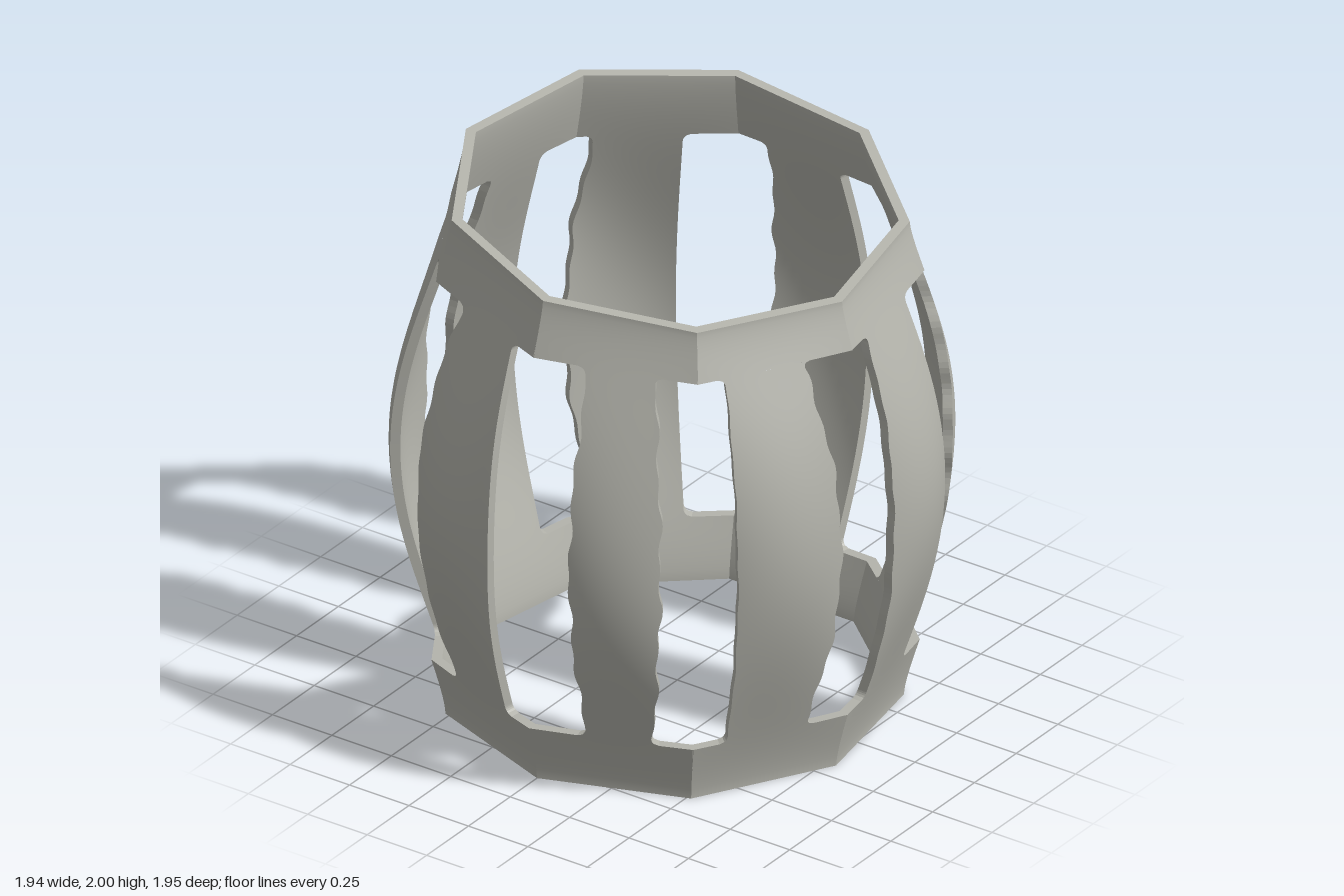
import * as THREE from 'three';

const SIDES = 9, TAN = Math.tan(Math.PI / SIDES), THICK = 0.036;
const V0 = 0.115, V1 = 0.885; // opening limits as fractions of the height
const DEG = Math.PI / 180;

// per stave: [low edge mid, high edge mid, low edge end, high edge end] in degrees
// from the face centre, then whether the low and high edges are rough
const STAVES = [
  [-13.5, 10.2, -11.5, 10.6, 1, 0],
  [-7.3, 13.5, -9, 8, 0, 1],
  [-7.7, 14, -8, 13.7, 0, 0.5],
  [-11, 12.8, -7, 14, 1, 0.3],
  [-12, 7.2, -10, 7, 1, 1],
  [-13.5, 11, -12.5, 8.5, 0, 1],
  [-7.6, 15, -9, 11, 0, 1],
  [-11, 7.8, -10, 8, 1, 0],
  [-19.7, 4.7, -16, 6.5, 1, 0],
];

const centreX = v => -0.036 * (1 - v);
const swell = v => Math.sin(Math.PI * THREE.MathUtils.clamp(v, 0, 1));
const apothem = v => 0.755 + 0.23 * Math.pow(swell(v), 1.4);

// point on the barrel wall: u runs -1..1 across a face, v runs 0..1 upwards
function wallPoint(theta, u, v, depth) {
  const a = apothem(v) - depth;
  const t = u * a * TAN;
  const r = a - 1.1 * Math.pow(swell(v), 3) * t * t;
  const x = centreX(v) + Math.cos(theta) * r - Math.sin(theta) * t;
  const z = Math.sin(theta) * r + Math.cos(theta) * t;
  // slanted rim, fading out downwards
  const y = 1.908 * v + Math.pow(v, 7) * (0.048 * x - 0.107 * z);
  return new THREE.Vector3(x, y, z);
}

function wallNormal(theta, u, v, depth) {
  const e = 0.002, va = Math.max(0, v - e), vb = Math.min(1, v + e);
  const dv = wallPoint(theta, u, vb, depth).sub(wallPoint(theta, u, va, depth));
  const du = wallPoint(theta, u + e, v, depth).sub(wallPoint(theta, u - e, v, depth));
  return dv.cross(du).normalize();
}

// edge of a stave in u, with rough cut and rounded opening corners
function staveEdge(i, side, v) {
  const s = STAVES[i], theta = i * 2 * Math.PI / SIDES, sign = side ? 1 : -1;
  const end = Math.sin(Math.PI * V0);
  const w = THREE.MathUtils.clamp((swell(v) - end) / (1 - end), 0, 1);
  const mid = 0.95 * Math.sin(s[side] * DEG), tip = 0.8 * Math.sin(s[2 + side] * DEG);
  let t = tip + (mid - tip) * w + centreX(v) * Math.sin(theta);
  const p = i * 2.3 + side;
  t += s[4 + side] * 0.005 * (Math.sin(34 * v + p) + Math.sin(71 * v + 2 * p));
  const rad = 0.03, d = Math.min(v - V0, V1 - v) * 1.9;
  if (d < rad) t += sign * (rad - Math.sqrt(Math.max(0, rad * rad - (rad - d) ** 2)));
  return THREE.MathUtils.clamp(t / (apothem(v) * TAN), -1, 1);
}

// solid curved panel between two edge functions
function panel(theta, rows, edge, cols, caps, sides) {
  const pos = [], nor = [];
  const tri = (p, n) => {
    const flat = n ? null : p[1].clone().sub(p[0]).cross(p[2].clone().sub(p[0])).normalize();
    p.forEach((q, k) => {
      pos.push(q.x, q.y, q.z);
      const m = n ? n[k] : flat;
      nor.push(m.x, m.y, m.z);
    });
  };
  const quad = (a, b, c, d, n) => {
    tri([a, b, c], n && [n[0], n[1], n[2]]);
    tri([a, c, d], n && [n[0], n[2], n[3]]);
  };
  const grid = depth => rows.map(v => {
    const lo = edge(0, v), hi = edge(1, v), line = [];
    for (let c = 0; c <= cols; c++) {
      const u = lo + (hi - lo) * c / cols;
      line.push({ p: wallPoint(theta, u, v, depth), n: wallNormal(theta, u, v, depth) });
    }
    return line;
  });
  const out = grid(0), inn = grid(THICK), last = rows.length - 1;
  for (let r = 0; r < last; r++) {
    for (let c = 0; c < cols; c++) {
      const o = [out[r][c], out[r + 1][c], out[r + 1][c + 1], out[r][c + 1]];
      const k = [inn[r][c], inn[r][c + 1], inn[r + 1][c + 1], inn[r + 1][c]];
      quad(...o.map(q => q.p), o.map(q => q.n));
      quad(...k.map(q => q.p), k.map(q => q.n.clone().negate()));
    }
    if (sides) {
      quad(out[r][0].p, inn[r][0].p, inn[r + 1][0].p, out[r + 1][0].p);
      quad(out[r][cols].p, out[r + 1][cols].p, inn[r + 1][cols].p, inn[r][cols].p);
    }
  }
  if (caps) {
    for (let c = 0; c < cols; c++) {
      quad(out[0][c].p, out[0][c + 1].p, inn[0][c + 1].p, inn[0][c].p);
      quad(out[last][c].p, inn[last][c].p, inn[last][c + 1].p, out[last][c + 1].p);
    }
  }
  const g = new THREE.BufferGeometry();
  g.setAttribute('position', new THREE.Float32BufferAttribute(pos, 3));
  g.setAttribute('normal', new THREE.Float32BufferAttribute(nor, 3));
  return g;
}

const spread = (a, b, n) => Array.from({ length: n + 1 }, (_, i) => a + (b - a) * i / n);

export function createModel() {
  const model = new THREE.Group();
  model.name = 'barrelCage';
  const grey = new THREE.MeshStandardMaterial({ color: 0xb4b4ac });
  grey.name = 'warmGrey';

  const parts = {};
  for (const name of ['lowerRing', 'staves', 'upperRing']) {
    parts[name] = new THREE.Group();
    parts[name].name = name;
    model.add(parts[name]);
  }
  const add = (group, name, geometry) => {
    const mesh = new THREE.Mesh(geometry, grey);
    mesh.name = name;
    parts[group].add(mesh);
  };

  // rows packed tightly near the rounded opening corners
  const corner = 0.016;
  const staveRows = [
    ...spread(V0, V0 + corner, 5),
    ...spread(V0 + corner, V1 - corner, 64).slice(1, -1),
    ...spread(V1 - corner, V1, 5),
  ];
  const full = side => (side ? 1 : -1);

  for (let i = 0; i < SIDES; i++) {
    const theta = i * 2 * Math.PI / SIDES;
    add('lowerRing', 'lowerRingPanel', panel(theta, spread(0, V0, 6), full, 10, true, false));
    add('upperRing', 'upperRingPanel', panel(theta, spread(V1, 1, 8), full, 10, true, false));
    add('staves', 'stave', panel(theta, staveRows, (side, v) => staveEdge(i, side, v), 12, false, true));
  }
  return model;
}
